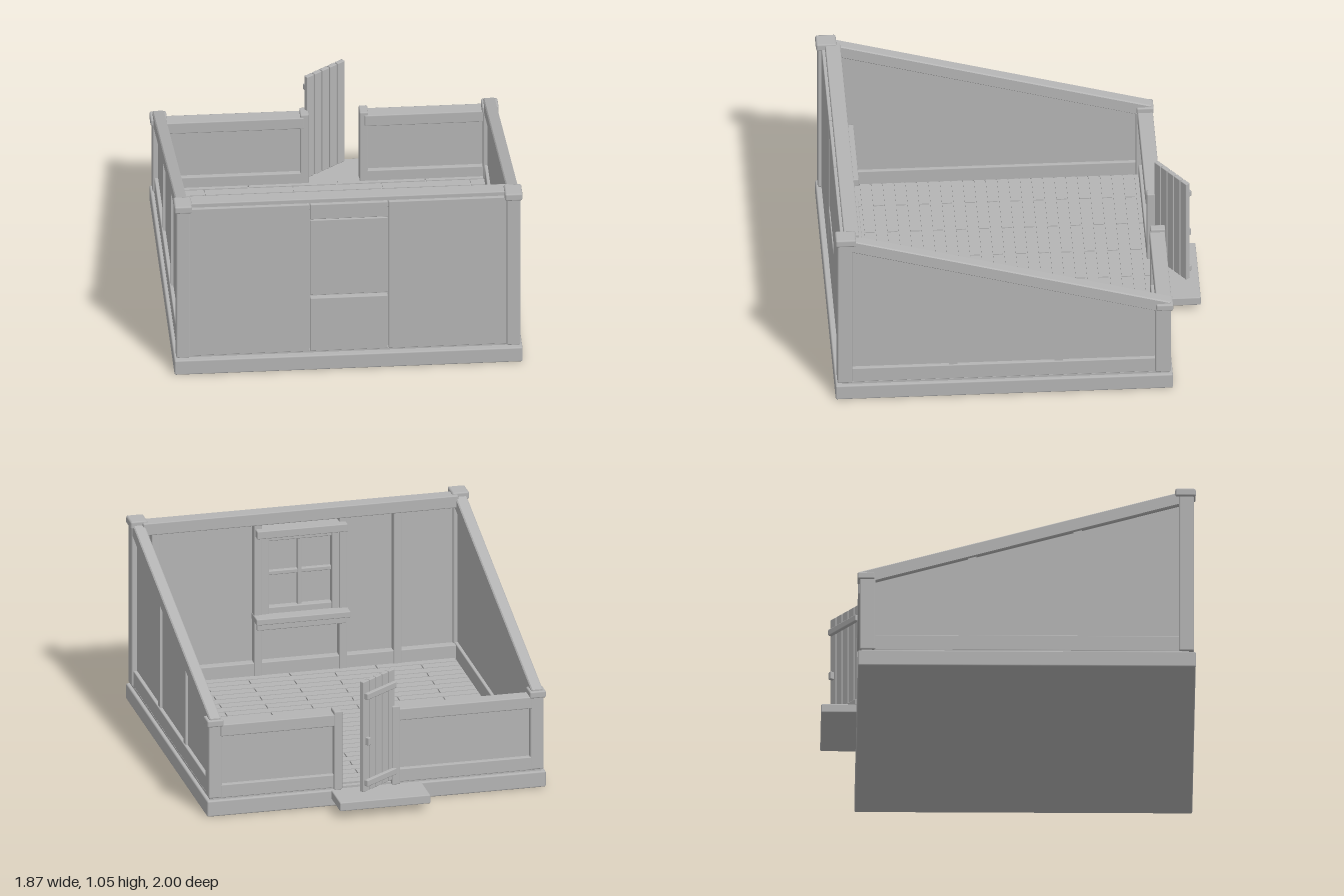
import * as THREE from 'three';
import { RoundedBoxGeometry } from 'three/addons/geometries/RoundedBoxGeometry.js';

const paint = new THREE.MeshStandardMaterial({ color: 0xb4b4b4 });
paint.name = 'plain grey';

// Box given by its limits on each axis, with a small chamfer
function box(parent, name, [x0, x1], [y0, y1], [z0, z1], bevel = 0.005) {
  const w = x1 - x0, h = y1 - y0, d = z1 - z0;
  const geo = bevel
    ? new RoundedBoxGeometry(w, h, d, 1, Math.min(bevel, Math.min(w, h, d) * 0.3))
    : new THREE.BoxGeometry(w, h, d);
  const mesh = new THREE.Mesh(geo, paint);
  mesh.name = name;
  mesh.position.set((x0 + x1) / 2, (y0 + y1) / 2, (z0 + z1) / 2);
  parent.add(mesh);
  return mesh;
}

// Flat slab with an outline of [z, y] points, spanning x0..x1
function slab(parent, name, points, x0, x1, bevel = 0) {
  const shape = new THREE.Shape(points.map(([z, y]) => new THREE.Vector2(z, y)));
  const geo = new THREE.ExtrudeGeometry(shape, {
    depth: x1 - x0 - 2 * bevel, bevelEnabled: bevel > 0, bevelSize: bevel,
    bevelThickness: bevel, bevelOffset: -bevel, bevelSegments: 1,
  });
  geo.rotateY(-Math.PI / 2);
  geo.translate(x1 - bevel, 0, 0);
  const mesh = new THREE.Mesh(geo, paint);
  mesh.name = name;
  parent.add(mesh);
}

function group(parent, name) {
  const g = new THREE.Group();
  g.name = name;
  parent.add(g);
  return g;
}

// Sloping wall top, as heights at depth z
const beamTop = z => 0.783 + 0.279 * z;
const beamBottom = z => 0.706 + 0.281 * z;

function addFloor(root) {
  const g = group(root, 'floor');
  box(g, 'base', [-0.935, 0.935], [0, 0.09], [-0.81, 1], 0.008);
  box(g, 'subfloor', [-0.915, 0.915], [0.085, 0.102], [-0.79, 0.965], 0);
  box(g, 'doorStep', [-0.25, 0.25], [0.04, 0.09], [-1, -0.78], 0.006);
  // Staggered planks, clipped to the room
  const pitch = 0.0614, length = 0.476, gap = 0.004;
  for (let row = 0; row < 27; row++) {
    const z = -0.735 + row * pitch;
    for (let x = row % 2 ? -1.126 : -0.887; x < 0.85; x += length) {
      const a = Math.max(x + gap, -0.85), b = Math.min(x + length - gap, 0.85);
      if (b - a > 0.01)
        box(g, 'plank', [a, b], [0.098, 0.112], [z - pitch / 2 + gap, z + pitch / 2 - gap], 0);
    }
  }
}

function addSideWall(root, side) {
  const g = group(root, side > 0 ? 'leftWall' : 'rightWall');
  const span = (a, b) => side > 0 ? [a, b] : [-b, -a];
  const plate = (name, pts, a, b, bevel) => slab(g, name, pts, ...span(a, b), bevel);
  // Corner posts with caps
  box(g, 'frontPost', span(0.85, 0.925), [0.1, 1.02], [0.91, 0.99], 0.008);
  box(g, 'frontCap', span(0.84, 0.935), [1.01, 1.055], [0.89, 1], 0.01);
  box(g, 'backPost', span(0.85, 0.925), [0.1, 0.52], [-0.8, -0.715], 0.008);
  box(g, 'backCap', span(0.845, 0.935), [0.513, 0.552], [-0.812, -0.72], 0.008);
  // Sloping beam, panel, studs and bottom rail
  plate('slopingBeam', [[-0.8, beamBottom(-0.8)], [0.92, beamBottom(0.92)],
    [0.92, beamTop(0.92)], [-0.8, beamTop(-0.8)]], 0.857, 0.92, 0.006);
  const strip = (name, z0, z1, y, a, b) => plate(name, [[z0, y], [z1, y],
    [z1, beamBottom(z1) + 0.02], [z0, beamBottom(z0) + 0.02]], a, b, 0);
  strip('panel', -0.75, 0.94, 0.1, 0.875, 0.895);
  strip('stud', 0.345, 0.39, 0.18, 0.89, 0.908);
  strip('stud', -0.22, -0.175, 0.18, 0.89, 0.908);
  box(g, 'bottomRail', span(0.857, 0.915), [0.1, 0.19], [-0.73, 0.92]);
}

function addFrontWall(root) {
  const g = group(root, 'frontWall');
  // Outer boards
  box(g, 'board', [-0.855, -0.208], [0.1, 1.02], [0.925, 0.97], 0.004);
  box(g, 'board', [0.218, 0.855], [0.1, 1.02], [0.925, 0.97], 0.004);
  box(g, 'lowerBoard', [-0.204, 0.212], [0.1, 0.432], [0.925, 0.97], 0.004);
  box(g, 'upperBoard', [-0.204, 0.212], [0.927, 1.02], [0.925, 0.97], 0.004);
  box(g, 'windowPane', [-0.204, 0.212], [0.45, 0.918], [0.935, 0.965], 0.003);
  box(g, 'backing', [-0.86, 0.86], [0.1, 1], [0.925, 0.94], 0);
  // Inner frame
  box(g, 'topBeam', [-0.87, 0.87], [0.975, 1.045], [0.87, 0.952], 0.006);
  box(g, 'bottomRail', [-0.87, 0.87], [0.1, 0.185], [0.88, 0.94]);
  for (const x of [-0.535, -0.235, 0.235, 0.8])
    box(g, 'stud', [x - 0.022, x + 0.022], [0.1, 0.985], [0.875, 0.935]);
  // Window
  const w = group(g, 'window');
  box(w, 'sill', [-0.26, 0.26], [0.425, 0.46], [0.81, 0.935]);
  box(w, 'apron', [-0.245, 0.245], [0.375, 0.43], [0.86, 0.935]);
  box(w, 'header', [-0.25, 0.25], [0.91, 0.955], [0.835, 0.935]);
  for (const x of [-0.195, 0.195])
    box(w, 'sideFrame', [x - 0.022, x + 0.022], [0.45, 0.92], [0.88, 0.935]);
  for (const y of [0.475, 0.895])
    box(w, 'crossFrame', [-0.2, 0.2], [y - 0.02, y + 0.02], [0.885, 0.935]);
  box(w, 'verticalBar', [-0.012, 0.012], [0.46, 0.91], [0.9, 0.935]);
  box(w, 'horizontalBar', [-0.2, 0.2], [0.673, 0.697], [0.902, 0.935]);
}

function addBackWall(root) {
  const g = group(root, 'backWall');
  for (const [x0, x1] of [[-0.86, -0.11], [0.215, 0.86]]) {
    box(g, 'panel', [x0, x1], [0.1, 0.5], [-0.775, -0.755], 0);
    box(g, 'topRail', [x0, x1], [0.455, 0.523], [-0.808, -0.725], 0.006);
    box(g, 'bottomRail', [x0, x1], [0.1, 0.175], [-0.8, -0.73]);
  }
  for (const x of [-0.107, 0.212])
    box(g, 'doorJamb', [x - 0.023, x + 0.023], [0.09, 0.54], [-0.81, -0.73], 0.006);
}

function addDoor(root) {
  const g = group(root, 'door');
  g.position.set(-0.1, 0, -0.78);
  g.rotation.y = 0.636;
  const w = 0.054;
  for (let i = 0; i < 5; i++)
    box(g, 'doorPlank', [i * w + 0.002, (i + 1) * w - 0.002], [0.118, 0.75], [-0.012, 0.014], 0.004);
  for (const y of [0.17, 0.667])
    box(g, 'batten', [0.012, 0.258], [y - 0.018, y + 0.018], [-0.034, -0.01]);
  box(g, 'handle', [0.23, 0.252], [0.385, 0.43], [-0.036, -0.01]);
}

export function createModel() {
  const root = new THREE.Group();
  root.name = 'openShed';
  addFloor(root);
  addSideWall(root, 1);
  addSideWall(root, -1);
  addFrontWall(root);
  addBackWall(root);
  addDoor(root);
  return root;
}
